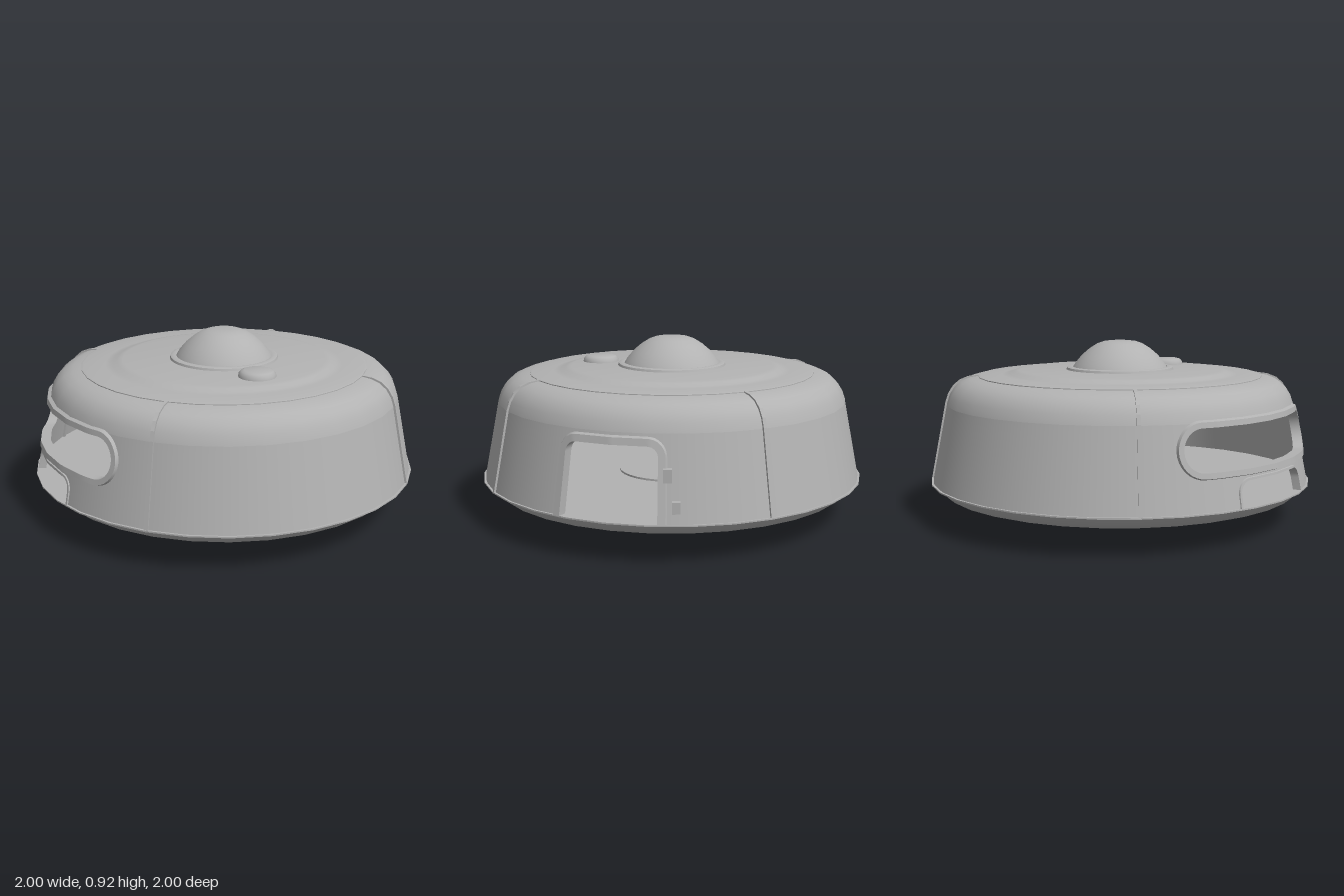
import * as THREE from 'three';
import { toCreasedNormals } from 'three/addons/utils/BufferGeometryUtils.js';

const SIDES = 32, STEP = (Math.PI * 2) / SIDES, ARC = 0.94;
const grey = new THREE.MeshStandardMaterial({ color: 0xb2b2b2, side: THREE.DoubleSide });
grey.name = 'hull grey';

// Openings: rounded rectangles wrapped round the wall (half width A, half height B)
const DOOR = { th: Math.PI / 2, cy: 0.2, A: 0.225, B: 0.345, r: 0.05 };
const WINDOW = { th: Math.PI * 1.5, cy: 0.48, A: 0.535, B: 0.1, r: 0.1 };
const VENT = { th: Math.PI * 1.5, cy: 0.2, A: 0.25, B: 0.125, r: 0.06 };

const WALL_TOP = 0.6;
const SHOULDER = [[0.91, 0.6], [0.895, 0.645], [0.87, 0.685], [0.835, 0.715], [0.79, 0.733], [0.745, 0.74]];

// Point on the sloping, 32-sided wall
function wallPoint(th, y, out = 0) {
  const m = ((th % STEP) + STEP) % STEP;
  const r = (0.99 - 0.2 * (y - 0.2) + out) * Math.cos(STEP / 2) / Math.cos(m - STEP / 2);
  return [r * Math.sin(th), y, r * Math.cos(th)];
}

// Half height of an opening at an angle from its middle
function halfHeight(o, th) {
  const over = Math.min(Math.max(Math.abs(th - o.th) * ARC - (o.A - o.r), 0), o.r);
  return o.B - o.r + Math.sqrt(o.r * o.r - over * over);
}

function gridGeometry(pos, rows, cols, normals) {
  const index = [];
  for (let i = 0; i < rows; i++) {
    for (let j = 0; j < cols; j++) {
      const a = i * (cols + 1) + j, d = a + cols + 1;
      index.push(a, d, d + 1, a, d + 1, a + 1);
    }
  }
  const g = new THREE.BufferGeometry();
  g.setAttribute('position', new THREE.Float32BufferAttribute(pos, 3));
  if (normals) g.setAttribute('normal', new THREE.Float32BufferAttribute(normals, 3));
  g.setIndex(index);
  return g;
}

// Piece of wall between two angles and two height rules
function wallPatch(a, b, lo, hi) {
  const n = 64, rows = 4, pos = [], nor = [], v = new THREE.Vector3();
  for (let i = 0; i <= n; i++) {
    const th = (a + b) / 2 - ((b - a) / 2) * Math.cos((Math.PI * i) / n);
    for (let j = 0; j <= rows; j++) {
      pos.push(...wallPoint(th, THREE.MathUtils.lerp(lo(th), hi(th), j / rows)));
      nor.push(...v.set(Math.sin(th), 0.2, Math.cos(th)).normalize().toArray());
    }
  }
  return gridGeometry(pos, n, rows, nor);
}

// Outline of an opening, grown outwards by g
function outline(o, g, closed) {
  const A = o.A + g, B = o.B + g, r = o.r + g, cx = A - r, cy = B - r, pts = [];
  if (!closed) pts.push([A, 0]);
  for (let i = 0; i <= 8; i++) {
    const t = (i * Math.PI) / 16;
    pts.push([cx + r * Math.cos(t), cy + r * Math.sin(t)]);
  }
  for (let i = 1; i < 20; i++) pts.push([cx * (1 - i / 10), B]);
  for (let i = 0; i <= 8; i++) {
    const t = Math.PI / 2 + (i * Math.PI) / 16;
    pts.push([-cx + r * Math.cos(t), cy + r * Math.sin(t)]);
  }
  if (!closed) return [...pts, [-A, 0]];
  return [...pts, ...pts.map(([x, y]) => [-x, -y]), pts[0]];
}

// Raised frame with an inward reveal
function frameGeometry(o, width, raise, closed) {
  const section = [[0, -0.035], [0, raise], [width * 0.75, raise], [width, -0.006]];
  const lines = section.map(([g]) => outline(o, g, closed));
  const pos = [];
  for (let j = 0; j < section.length; j++) {
    for (const [x, y] of lines[j]) pos.push(...wallPoint(o.th + x / ARC, o.cy + y, section[j][1]));
  }
  return toCreasedNormals(gridGeometry(pos, section.length - 1, lines[0].length - 1), 0.6);
}

function lathe(points, crease = 0.6) {
  const g = new THREE.LatheGeometry(points.map(([x, y]) => new THREE.Vector2(x, y)), SIDES);
  return toCreasedNormals(g, crease);
}

export function createModel() {
  const model = new THREE.Group();
  model.name = 'roundHabitat';
  const add = (name, geometry, parent = model) => {
    const mesh = new THREE.Mesh(geometry, grey);
    mesh.name = name;
    parent.add(mesh);
    return mesh;
  };

  // Wall, split round its openings
  const wall = new THREE.Group();
  wall.name = 'wall';
  model.add(wall);
  const foot = () => 0.2, top = () => WALL_TOP;
  const edge = (o, s) => o.th + (s * o.A) / ARC;
  const above = o => th => o.cy + halfHeight(o, th);
  const windowSill = th => WINDOW.cy - halfHeight(WINDOW, th);
  add('backWall', wallPatch(edge(DOOR, 1), edge(WINDOW, -1), foot, top), wall);
  add('frontWall', wallPatch(edge(WINDOW, 1), edge(DOOR, -1) + Math.PI * 2, foot, top), wall);
  add('wallOverDoor', wallPatch(edge(DOOR, -1), edge(DOOR, 1), above(DOOR), top), wall);
  add('wallOverWindow', wallPatch(edge(WINDOW, -1), edge(WINDOW, 1), above(WINDOW), top), wall);
  add('wallOverVent', wallPatch(edge(VENT, -1), edge(VENT, 1), above(VENT), windowSill), wall);
  add('wallBackOfVent', wallPatch(edge(WINDOW, -1), edge(VENT, -1), foot, windowSill), wall);
  add('wallFrontOfVent', wallPatch(edge(VENT, 1), edge(WINDOW, 1), foot, windowSill), wall);

  // Frames
  add('doorFrame', frameGeometry(DOOR, 0.045, 0.012, false));
  add('windowFrame', frameGeometry(WINDOW, 0.035, 0.016, true));
  add('ventFrame', frameGeometry(VENT, 0.015, 0.006, false));

  // Roof
  add('shoulder', lathe(SHOULDER));
  add('roofPlate', lathe([[0.745, 0.735], [0.745, 0.744], [0.735, 0.747], [0.62, 0.749], [0.585, 0.753],
    [0.56, 0.765], [0.53, 0.77], [0, 0.772]]));
  add('domeRing', lathe([[0.285, 0.768], [0.28, 0.782], [0.265, 0.787], [0.25, 0.785]]));
  add('dome', lathe([[0.25, 0.78], [0.235, 0.805], [0.2, 0.846], [0.16, 0.88], [0.12, 0.905], [0.085, 0.917],
    [0.05, 0.921], [0, 0.922]]));
  const hatch = add('roofHatch', lathe([[0.095, 0.768], [0.092, 0.785], [0.08, 0.798], [0.065, 0.803], [0, 0.804]]));
  hatch.position.z = 0.4;

  // Seam ribs at the four diagonals
  const path = [[0.99, 0.2], ...SHOULDER];
  const ribShape = new THREE.Shape([
    ...path.map(([r, y], i) => new THREE.Vector2(r + (i === path.length - 1 ? 0 : 0.008), y + (i ? 0.006 : 0))),
    ...path.slice().reverse().map(([r, y]) => new THREE.Vector2(r - 0.012, y - (y > 0.2 ? 0.01 : 0))),
  ]);
  const ribGeometry = new THREE.ExtrudeGeometry(ribShape, { depth: 0.018, bevelEnabled: false });
  ribGeometry.translate(0, 0, -0.009);
  for (let i = 0; i < 4; i++) add('seamRib', ribGeometry).rotation.y = Math.PI / 4 + (i * Math.PI) / 2;

  // Floor, rim and underside with its socket
  add('base', lathe([[0, 0.15], [0.2, 0.15], [0.24, 0.13], [0.26, 0.105], [0.32, 0.1], [0.345, 0.085], [0.355, 0.066],
    [0.5, 0.065], [0.545, 0.073], [0.575, 0.095], [0.58, 0.125], [0.885, 0.127], [0.925, 0.14], [0.955, 0.165],
    [0.98, 0.192], [1, 0.195], [1, 0.202], [0.28, 0.203], [0.28, 0.213], [0.06, 0.215], [0.045, 0.23], [0, 0.235]]));

  // Threaded plug and its prongs
  add('plug', lathe([[0, 0.055], [0.1, 0.052], [0.115, 0.036], [0.135, 0.036], [0.14, 0.045], [0.14, 0.058],
    [0.125, 0.065], [0.14, 0.075], [0.14, 0.085], [0.125, 0.095], [0.14, 0.105], [0.125, 0.12], [0.125, 0.15]]));
  for (let i = 0; i < 4; i++) {
    const a = Math.PI / 4 + (i * Math.PI) / 2;
    const prong = add('prong', new THREE.CylinderGeometry(0.009, 0.009, 0.058, 8));
    prong.position.set(0.025 * Math.sin(a), 0.029, 0.025 * Math.cos(a));
  }

  // Door fittings
  const fit = (name, d, y, w, h, depth) => {
    const mesh = add(name, new THREE.BoxGeometry(w, h, depth));
    mesh.position.set(...wallPoint(DOOR.th + d, y, 0.012));
    mesh.rotation.y = DOOR.th + d;
  };
  fit('doorPanel', 0.285, 0.42, 0.04, 0.06, 0.04);
  fit('doorLock', 0.325, 0.28, 0.038, 0.055, 0.03);
  fit('doorLockButton', 0.325, 0.285, 0.018, 0.022, 0.045);
  return model;
}
